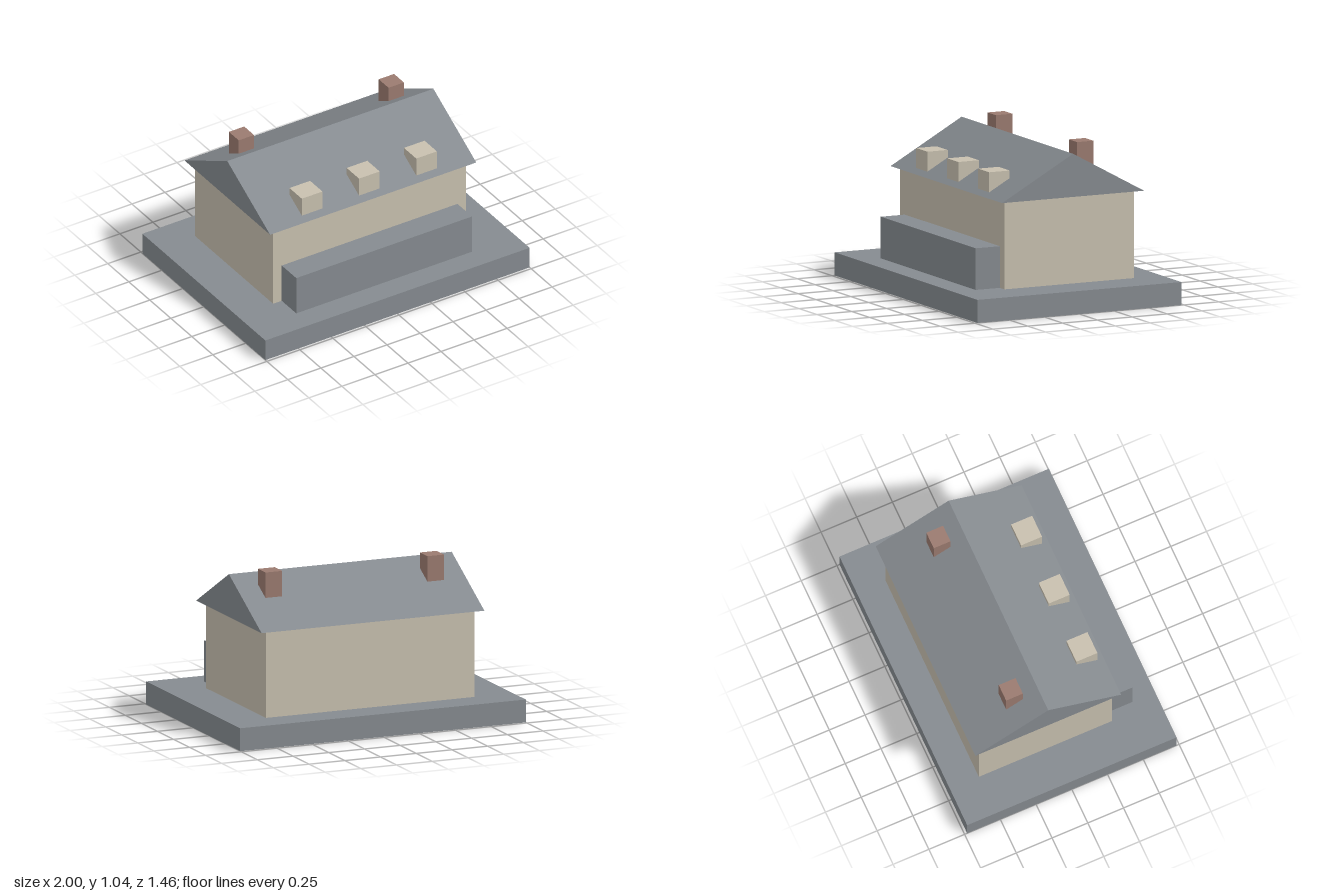
import * as THREE from 'three';

export function createModel() {
  const house = new THREE.Group();
  house.name = 'house';

  const material = (name, color) => {
    const m = new THREE.MeshStandardMaterial({ color });
    m.name = name;
    return m;
  };
  const slate = material('slate grey', 0x868b90);
  const plaster = material('beige plaster', 0xc8c0af);
  const brick = material('brown brick', 0x9b7b70);

  const add = (name, geometry, mat) => {
    const mesh = new THREE.Mesh(geometry, mat);
    mesh.name = name;
    house.add(mesh);
    return mesh;
  };

  // Box between two limits on each axis
  const box = (name, mat, [x0, x1], [y0, y1], [z0, z1]) =>
    add(name, new THREE.BoxGeometry(x1 - x0, y1 - y0, z1 - z0), mat)
      .position.set((x0 + x1) / 2, (y0 + y1) / 2, (z0 + z1) / 2);

  box('base', slate, [-1, 1], [0, 0.15], [-0.732, 0.732]);
  box('walls', plaster, [-0.73, 0.73], [0.15, 0.72], [-0.53, 0.4]);
  box('porch', slate, [-0.665, 0.665], [0.15, 0.42], [0.4, 0.573]);

  // Gable roof: triangle in z and y, extruded along x
  const gable = new THREE.Shape([
    new THREE.Vector2(-0.443, 0.72),
    new THREE.Vector2(0.577, 0.72),
    new THREE.Vector2(0.067, 1.0),
  ]);
  const roof = new THREE.ExtrudeGeometry(gable, { depth: 1.56, bevelEnabled: false });
  roof.translate(0, 0, -0.78).rotateY(Math.PI / 2);
  add('roof', roof, slate);

  // Dormers along the front slope
  for (const x of [-0.433, 0, 0.433]) {
    box('dormer', plaster, [x - 0.078, x + 0.078], [0.745, 0.875], [0.25, 0.397]);
  }

  // Chimneys on the back slope
  for (const x of [-0.567, 0.567]) {
    box('chimney', brick, [x - 0.058, x + 0.058], [0.8, 1.043], [-0.292, -0.175]);
  }

  return house;
}
